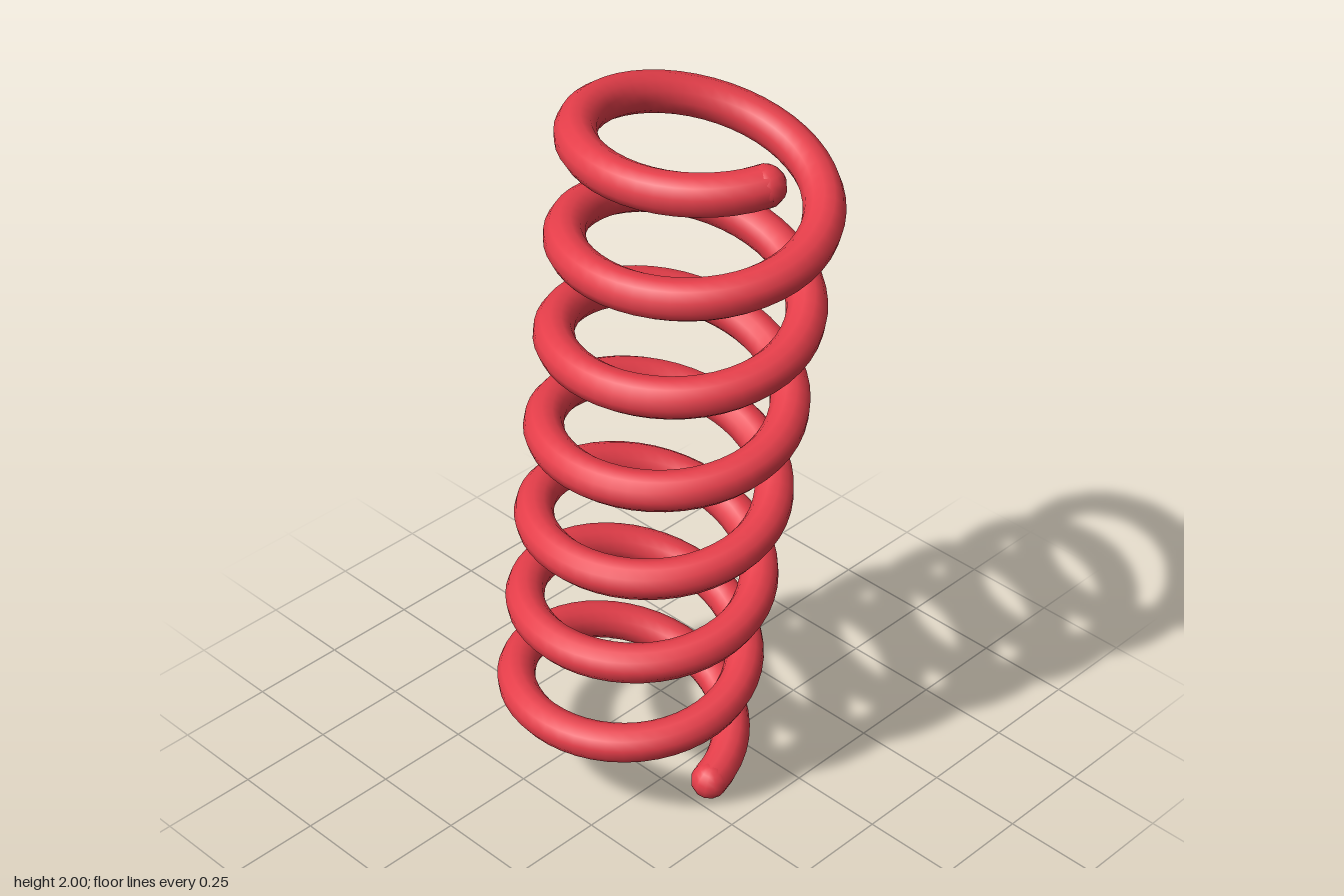
import * as THREE from 'three';

const COIL_RADIUS = 0.283;
const WIRE_RADIUS = 0.0485;
const PITCH = 0.2778;
const START = 0.025; // in turns
const END = 6.94;

// Helix around its own vertical axis, measured in turns
class Helix extends THREE.Curve {
  getPoint(u, target = new THREE.Vector3()) {
    const t = START + (END - START) * u;
    const a = t * Math.PI * 2;
    return target.set(COIL_RADIUS * Math.cos(a), PITCH * t, -COIL_RADIUS * Math.sin(a));
  }
}

export function createModel() {
  const model = new THREE.Group();
  model.name = 'coilSpring';
  const red = new THREE.MeshStandardMaterial({ color: 0xe63e4a });

  // Leaning frame that carries the coil
  const spring = new THREE.Group();
  spring.name = 'leaningSpring';
  spring.position.set(-0.148, 0.088, 0);
  spring.rotation.z = -0.1536;
  model.add(spring);

  // Wire
  const path = new Helix();
  const wire = new THREE.Mesh(new THREE.TubeGeometry(path, 336, WIRE_RADIUS, 12, false), red);
  wire.name = 'coiledWire';
  spring.add(wire);

  // Rounded wire ends
  const ball = new THREE.SphereGeometry(WIRE_RADIUS, 12, 10);
  for (const [name, u] of [['bottomEnd', 0], ['topEnd', 1]]) {
    const end = new THREE.Mesh(ball, red);
    end.name = name;
    end.position.copy(path.getPoint(u));
    spring.add(end);
  }

  return model;
}
